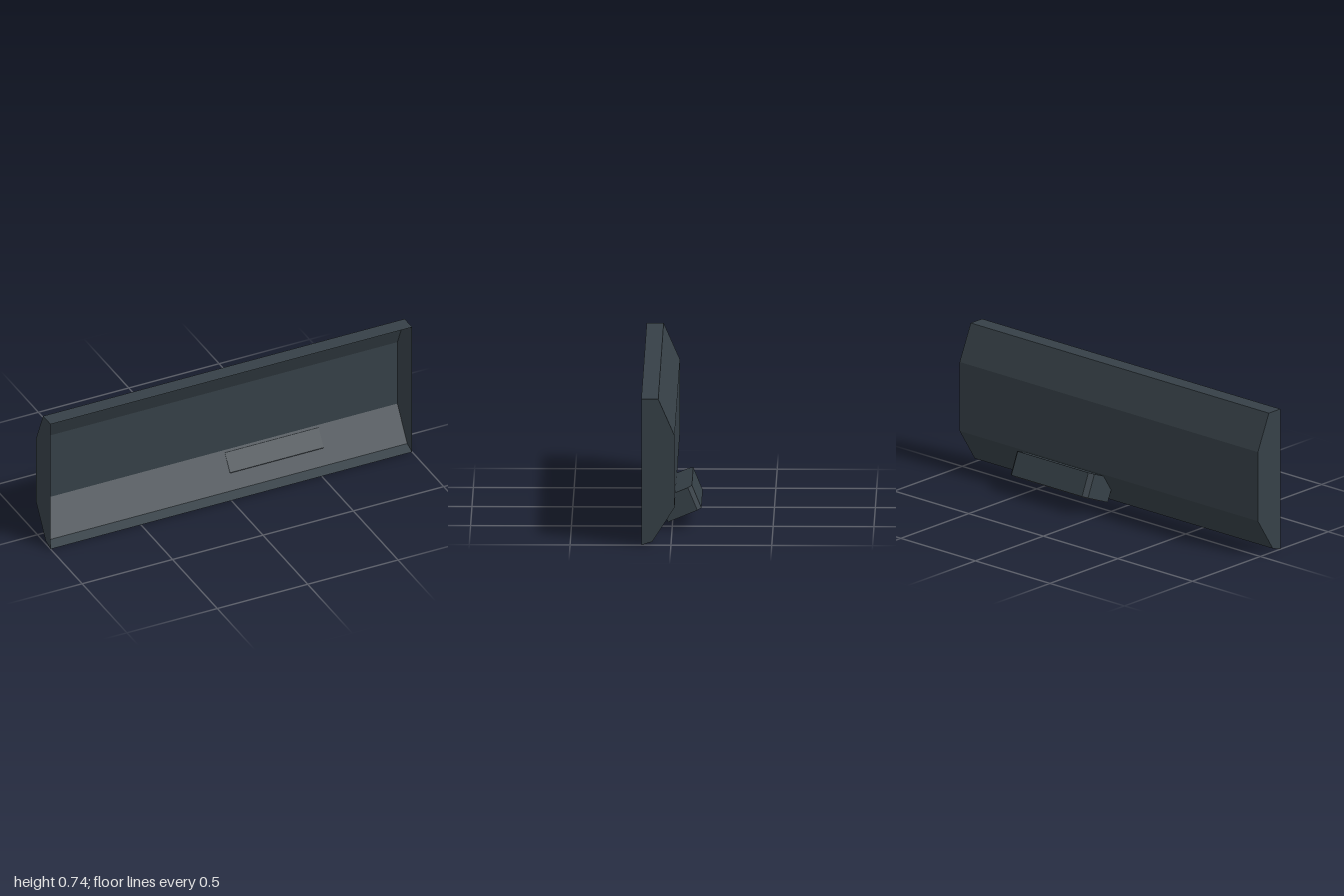
import * as THREE from 'three';

const steel = new THREE.MeshStandardMaterial({ name: 'dark blue grey', color: 0x364047, side: THREE.DoubleSide });
const lens = new THREE.MeshStandardMaterial({ name: 'warm grey', color: 0x847f7c });

// Joins convex [z, y] sections placed along x, and caps both ends
function loft(sections, closed) {
  const pos = [];
  const tri = (...pts) => pts.forEach((p) => pos.push(...p));
  const rings = sections.map(({ x, pts }) => pts.map(([z, y]) => [x, y, z]));
  const n = rings[0].length;
  for (let s = 0; s < rings.length - 1; s++) {
    const a = rings[s], b = rings[s + 1];
    for (let i = 0; i < (closed ? n : n - 1); i++) {
      const j = (i + 1) % n;
      tri(a[i], a[j], b[j]);
      tri(a[i], b[j], b[i]);
    }
  }
  const first = rings[0], last = rings[rings.length - 1];
  for (let i = 1; i < n - 1; i++) {
    tri(first[0], first[i + 1], first[i]);
    tri(last[0], last[i], last[i + 1]);
  }
  const g = new THREE.BufferGeometry();
  g.setAttribute('position', new THREE.Float32BufferAttribute(pos, 3));
  g.computeVertexNormals();
  return g;
}

function add(group, name, geometry, material) {
  const mesh = new THREE.Mesh(geometry, material);
  mesh.name = name;
  group.add(mesh);
  return mesh;
}

export function createModel() {
  const group = new THREE.Group();
  group.name = 'housing';

  // Thin tray, open towards the front
  const profile = [[0.147, 0], [0.092, 0.018], [-0.018, 0.19], [-0.018, 0.553], [0.063, 0.737], [0.147, 0.737]];
  add(group, 'shell', loft([-1, 1].map((x) => ({ x, pts: profile })), false), steel);

  // Tilted block on the lower back, with its outer corners cut; its root just breaks the inner wall
  const full = [[0.0475, 0.0945], [0.02, 0.032], [-0.145, 0.1], [-0.098, 0.214], [-0.009, 0.178]];
  const cut = full.map(([z, y], i) => (i === 2 || i === 3 ? [z + 0.02, y - 0.008] : [z, y]));
  add(group, 'rearBlock', loft([
    { x: 0.042, pts: cut }, { x: 0.064, pts: full },
    { x: 0.538, pts: full }, { x: 0.56, pts: cut },
  ], true), steel);

  // Panel set into the underside of the block
  const panel = add(group, 'lensPanel', new THREE.BoxGeometry(0.465, 0.008, 0.14), lens);
  panel.position.set(0.301, 0.067, -0.0615);
  panel.rotation.x = 0.391;

  return group;
}
